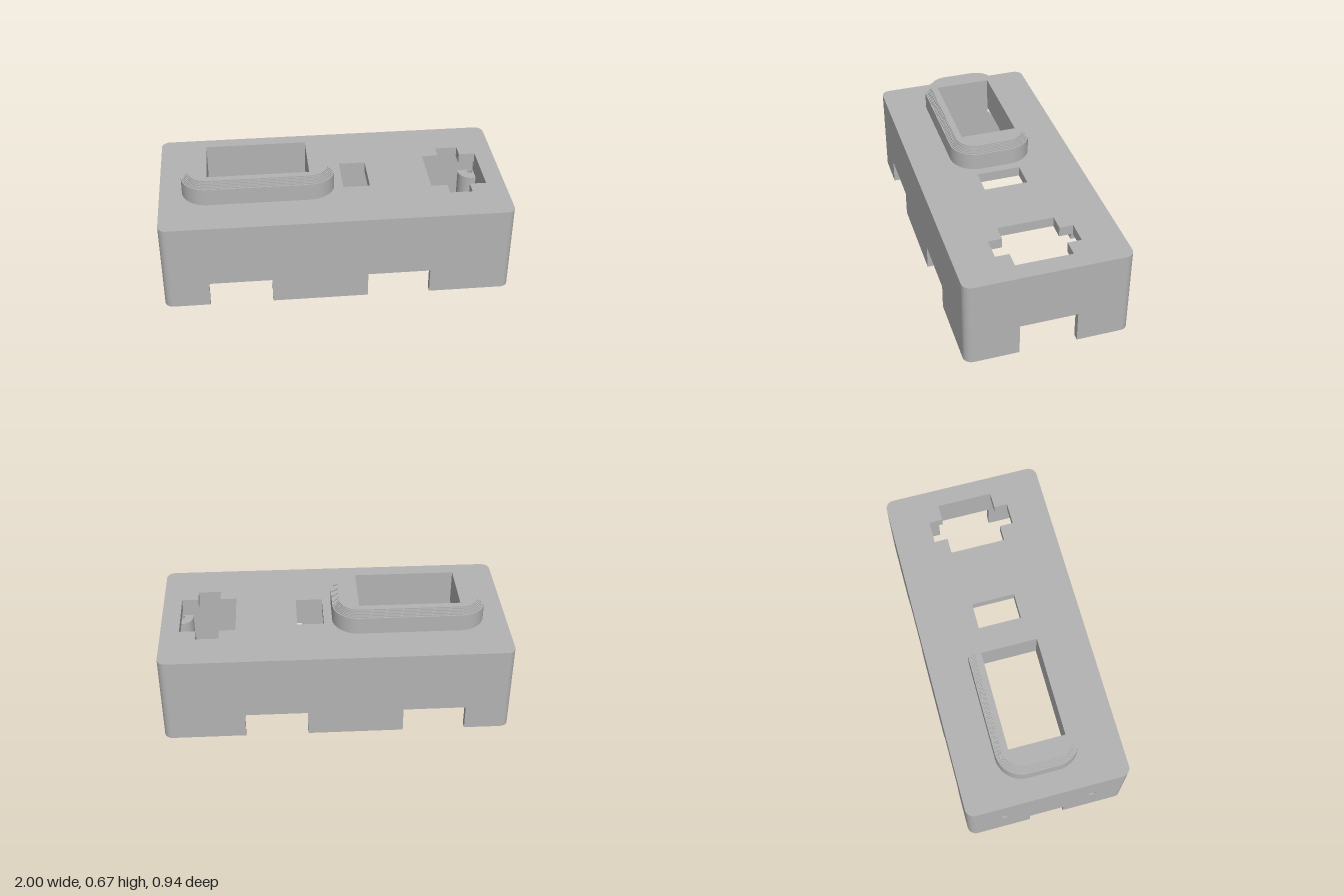
import * as THREE from 'three';
import { toCreasedNormals } from 'three/addons/utils/BufferGeometryUtils.js';

const HX = 1, HZ = 0.472, TOP = 0.53, LID = 0.06, WALL = 0.04, R = 0.05;

const grey = new THREE.MeshStandardMaterial({ color: 0xb3b3b3 });
grey.name = 'grey plastic';

// Rectangle with rounded corners, centred on (cx, 0)
function roundedRect(cx, hx, hz, r) {
  const s = new THREE.Shape();
  s.absarc(cx + hx - r, hz - r, r, 0, Math.PI / 2);
  s.absarc(cx - hx + r, hz - r, r, Math.PI / 2, Math.PI);
  s.absarc(cx - hx + r, -hz + r, r, Math.PI, Math.PI * 1.5);
  s.absarc(cx + hx - r, -hz + r, r, Math.PI * 1.5, Math.PI * 2);
  s.closePath();
  return s;
}

function polygon(points, Type = THREE.Path) {
  return new Type(points.map(([x, y]) => new THREE.Vector2(x, y)));
}

function rectHole(x0, x1, hz) {
  return polygon([[x0, -hz], [x1, -hz], [x1, hz], [x0, hz]]);
}

function circleHole(x, y, r) {
  return new THREE.Path().absarc(x, y, r, 0, Math.PI * 2, true);
}

function extrude(shape, depth) {
  const geo = new THREE.ExtrudeGeometry(shape, { depth, bevelEnabled: false, curveSegments: 12 });
  return toCreasedNormals(geo, 0.6);
}

// Extrude a plan outline upwards from y0 to y1
function slab(name, shape, y0, y1) {
  const mesh = new THREE.Mesh(extrude(shape, y1 - y0).rotateX(-Math.PI / 2).translate(0, y0, 0), grey);
  mesh.name = name;
  return mesh;
}

// Upright wall with notches [from, to, height] in its lower edge
function wall(name, half, distance, angle, notches, holes = []) {
  const pts = [[-half, 0]];
  for (const [a, b, h] of notches) pts.push([a, 0], [a, h], [b, h], [b, 0]);
  pts.push([half, 0], [half, TOP - LID], [-half, TOP - LID]);
  const shape = polygon(pts, THREE.Shape);
  shape.holes.push(...holes);
  const geo = extrude(shape, WALL).translate(0, 0, distance - WALL).rotateY(angle);
  const mesh = new THREE.Mesh(geo, grey);
  mesh.name = name;
  return mesh;
}

// Screw post, trimmed flat where it meets the walls
function screwPost(x, z) {
  const limX = HX - WALL / 2, limZ = HZ - WALL / 2, r = 0.076;
  const pts = [];
  for (let i = 0; i < 48; i++) {
    const a = (i / 48) * Math.PI * 2;
    const p = [
      THREE.MathUtils.clamp(x + r * Math.cos(a), -limX, limX),
      THREE.MathUtils.clamp(-z + r * Math.sin(a), -limZ, limZ),
    ];
    const last = pts[pts.length - 1];
    if (!last || Math.hypot(p[0] - last[0], p[1] - last[1]) > 1e-5) pts.push(p);
  }
  const shape = polygon(pts, THREE.Shape);
  shape.holes.push(circleHole(x, -z, 0.02));
  return slab('screwPost', shape, 0.001, 0.24);
}

export function createModel() {
  const model = new THREE.Group();
  model.name = 'enclosure';

  // Lid with window, slot and cross-shaped opening
  const lid = roundedRect(0, HX, HZ, R);
  const cross = polygon([
    [0.57, -0.163], [0.665, -0.163], [0.665, -0.243], [0.797, -0.243], [0.797, -0.163], [0.893, -0.163],
    [0.893, 0.163], [0.797, 0.163], [0.797, 0.243], [0.665, 0.243], [0.665, 0.163], [0.57, 0.163],
  ]);
  lid.holes.push(rectHole(-0.72, -0.14, 0.163), rectHole(0.06, 0.215, 0.127), cross);
  model.add(slab('lid', lid, TOP - LID, TOP));

  // Four notched walls
  const front = [[-0.74, -0.38, 0.15], [0.17, 0.53, 0.15]];
  const back = [[-0.53, -0.17, 0.15], [0.38, 0.74, 0.15]];
  const cableHoles = [-0.26, 0.26].map((s) => circleHole(s, 0.275, 0.028));
  model.add(
    wall('frontWall', HX - R, HZ, 0, front),
    wall('backWall', HX - R, HZ, Math.PI, back),
    wall('leftWall', HZ - R, HX, Math.PI / 2, [[-0.165, 0.165, 0.19]]),
    wall('rightWall', HZ - R, HX, -Math.PI / 2, [[-0.102, 0.102, 0.1]], cableHoles),
  );

  // Rounded wall corners
  [[1, 1], [-1, 1], [-1, -1], [1, -1]].forEach(([sx, sy], i) => {
    const a = (i * Math.PI) / 2, cx = sx * (HX - R), cy = sy * (HZ - R);
    const shape = new THREE.Shape();
    shape.absarc(cx, cy, R, a, a + Math.PI / 2, false);
    shape.absarc(cx, cy, R - WALL, a + Math.PI / 2, a, true);
    shape.closePath();
    model.add(slab('wallCorner', shape, 0, TOP - LID));
  });

  // Screw posts
  for (const z of [-0.41, 0.41]) model.add(screwPost(0.935, z), screwPost(-0.86, z));

  // Raised window collar with a finely stepped top edge
  const collar = new THREE.Group();
  collar.name = 'windowCollar';
  const tier = (inset, y0, y1) => {
    const shape = roundedRect(-0.43, 0.44 - inset, 0.238 - inset, 0.15 - inset);
    shape.holes.push(rectHole(-0.72, -0.14, 0.163));
    collar.add(slab('collarTier', shape, y0, y1));
  };
  const steps = 6, base = 0.632, rise = (0.67 - base) / steps;
  tier(0, TOP, base);
  for (let i = 0; i < steps; i++) tier(0.008 + i * 0.0056, base + i * rise, base + (i + 1) * rise);
  model.add(collar);

  return model;
}
